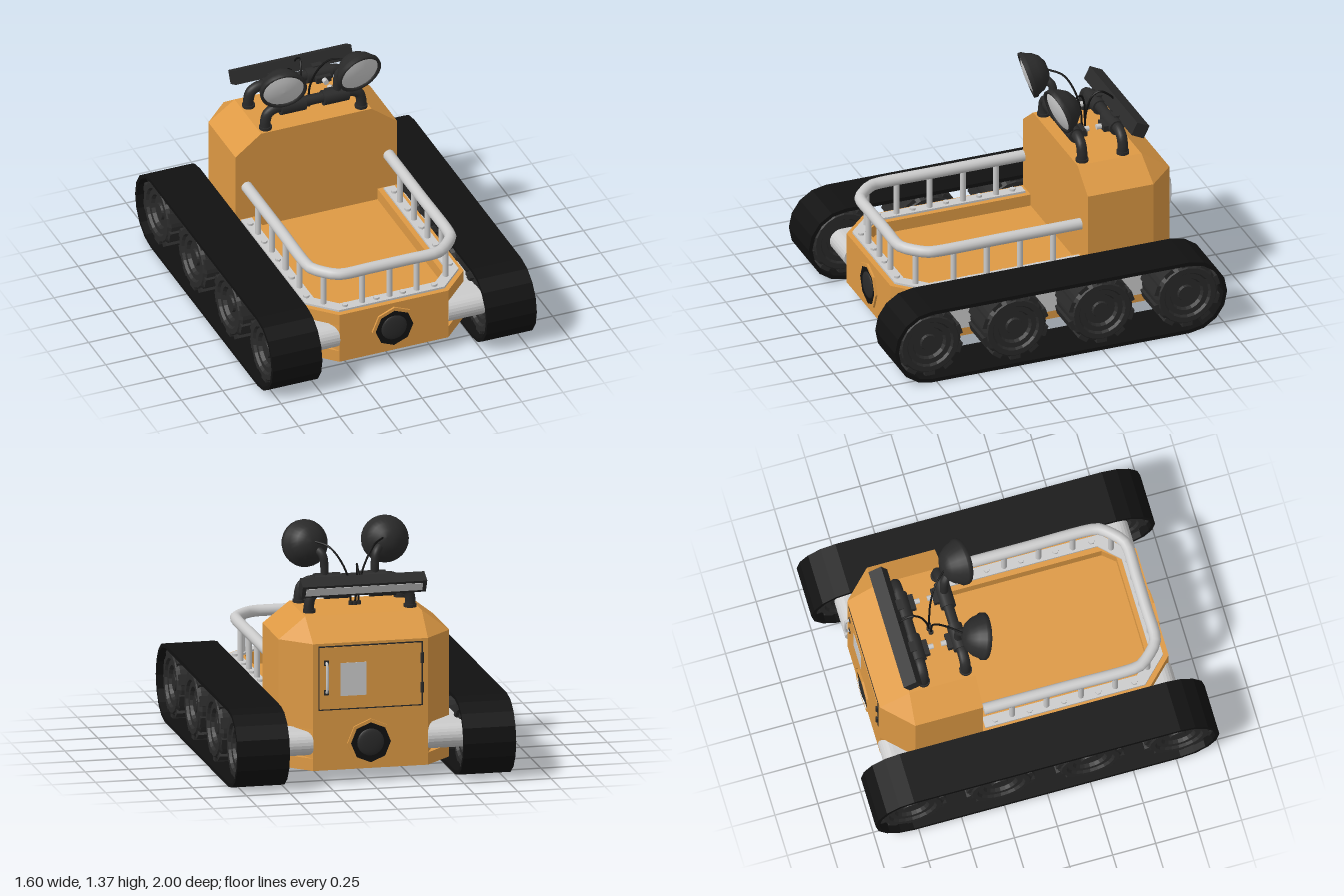
import * as THREE from 'three';
import { ConvexGeometry } from 'three/addons/geometries/ConvexGeometry.js';

const mat = (color, flatShading = false) => new THREE.MeshStandardMaterial({ color, flatShading });
const orange = mat(0xdd9944), grey = mat(0xcccccc), dark = mat(0x2a2a2a);
const darkFlat = mat(0x2a2a2a, true), black = mat(0x111111);
const V = (x, y, z) => new THREE.Vector3(x, y, z);
const SIDES = [1, -1];

export function createModel() {
  const model = new THREE.Group();

  function add(name, geometry, material, x = 0, y = 0, z = 0, parent = model) {
    const mesh = new THREE.Mesh(geometry, material);
    mesh.name = name;
    mesh.position.set(x, y, z);
    parent.add(mesh);
    return mesh;
  }
  const box = (name, w, h, d, m, x, y, z, parent) => add(name, new THREE.BoxGeometry(w, h, d), m, x, y, z, parent);
  // Cylinder along the given axis
  function rod(name, r, len, axis, m, x, y, z, parent, sides = 16) {
    const g = new THREE.CylinderGeometry(r, r, len, sides);
    if (axis === 'x') g.rotateZ(Math.PI / 2);
    if (axis === 'z') g.rotateX(Math.PI / 2);
    return add(name, g, m, x, y, z, parent);
  }
  const tube = (name, points, r, m, sides = 12) => add(name,
    new THREE.TubeGeometry(new THREE.CatmullRomCurve3(points.map(p => V(...p)), false, 'centripetal'), 64, r, sides), m);
  // Mirrors a list of (x, z) corners across x = 0 into a closed outline
  const mirrored = half => [...half, ...half.map(([x, z]) => [-x, z]).reverse()].map(p => new THREE.Vector2(...p));
  // Horizontal plate with a plan outline between two heights
  function plate(name, half, y0, y1, m, hole) {
    const shape = new THREE.Shape(mirrored(half));
    if (hole) shape.holes.push(new THREE.Path(mirrored(hole)));
    const g = new THREE.ExtrudeGeometry(shape, { depth: y1 - y0, bevelEnabled: false });
    g.rotateX(Math.PI / 2);
    return add(name, g, m, 0, y1, 0);
  }

  // Hull: three layers, with the middle one narrower to leave the axle slots
  const plan = [[0.33, -0.84], [0.49, -0.68], [0.49, 0.68], [0.33, 0.84]];
  const innerPlan = [[0.33, -0.84], [0.4, -0.68], [0.4, 0.68], [0.33, 0.84]];
  plate('hullBottom', plan, 0.08, 0.15, orange);
  plate('hullMiddle', innerPlan, 0.15, 0.32, orange);
  plate('bedWall', plan, 0.32, 0.39, orange, [[0.37, -0.285], [0.37, 0.65], [0.31, 0.72]]);

  // Cabin with sloped roof edges
  const corners = [];
  for (const s of SIDES) {
    for (const y of [0.39, 0.81]) {
      corners.push(V(s * 0.49, y, -0.285), V(s * 0.49, y, -0.68), V(s * 0.33, y, -0.84));
    }
    corners.push(V(s * 0.335, 0.93, -0.285), V(s * 0.335, 0.93, -0.67));
  }
  add('cabin', new ConvexGeometry(corners), orange);

  // Rear door with window, handle and hinges
  box('doorSeam', 0.6, 0.37, 0.004, dark, 0, 0.61, -0.841);
  box('door', 0.585, 0.355, 0.01, orange, 0, 0.61, -0.842);
  box('doorWindow', 0.15, 0.19, 0.008, grey, 0.1, 0.6, -0.845);
  tube('doorHandle', [[0.255, 0.53, -0.84], [0.255, 0.535, -0.865], [0.255, 0.56, -0.872],
    [0.255, 0.67, -0.872], [0.255, 0.695, -0.865], [0.255, 0.7, -0.84]], 0.008, grey, 8);
  for (const y of [0.53, 0.7]) {
    box('handleFoot', 0.03, 0.03, 0.012, dark, 0.255, y, -0.846);
    rod('hinge', 0.01, 0.06, 'y', dark, -0.295, y, -0.846, model, 8);
  }

  // Round lamps at the front and back of the hull
  for (const s of SIDES) {
    const lamp = new THREE.Group();
    lamp.name = 'hullLamp';
    lamp.position.set(0, 0.23, s * 0.84);
    if (s < 0) lamp.rotation.y = Math.PI;
    model.add(lamp);
    const rim = add('lampRim', new THREE.RingGeometry(0.115, 0.135, 8), orange, 0, 0, 0.012, lamp);
    const edge = add('lampRimEdge', new THREE.CylinderGeometry(0.135, 0.135, 0.012, 8, 1, true).rotateX(Math.PI / 2), mat(0xdd9944, true), 0, 0, 0.006, lamp);
    rim.rotation.z = edge.rotation.z = Math.PI / 2;
    add('lampWell', new THREE.CircleGeometry(0.117, 8), black, 0, 0, 0.004, lamp);
    add('lampDome', new THREE.SphereGeometry(0.078, 20, 12), dark, 0, 0, 0.003, lamp).scale.z = 0.2;
  }

  // Guard rail around the bed, on a bolted strip
  const railHalf = [[0.43, -0.265], [0.43, 0.2], [0.43, 0.61], [0.42, 0.655], [0.335, 0.75], [0.29, 0.773], [0.1, 0.775]];
  tube('railTop', [...railHalf, ...railHalf.map(([x, z]) => [-x, z]).reverse()].map(([x, z]) => [x, 0.613, z]), 0.033, grey, 16);
  const strip = [[0.4, -0.265], [0.465, -0.265], [0.465, 0.665], [0.32, 0.81], [0, 0.81]];
  const stripInner = [[0, 0.745], [0.29, 0.745], [0.4, 0.635]];
  for (const s of SIDES) {
    const shape = new THREE.Shape([...strip, ...stripInner].map(([x, z]) => new THREE.Vector2(s * x, z)));
    const g = new THREE.ExtrudeGeometry(shape, { depth: 0.015, bevelEnabled: false });
    add('railStrip', g.rotateX(Math.PI / 2), grey, 0, 0.402, 0);
    const post = (x, z) => rod('railPost', 0.017, 0.21, 'y', grey, s * x, 0.495, z);
    const bolt = (x, z) => rod('railBolt', 0.018, 0.014, 'y', grey, s * x, 0.408, z, model, 6);
    for (const z of [-0.1, 0.1, 0.3, 0.5]) post(0.43, z);
    post(0.37, 0.705);
    post(0.165, 0.775);
    for (const z of [-0.2, 0, 0.2, 0.4, 0.61]) bolt(0.435, z);
    bolt(0.27, 0.777);
    bolt(0.08, 0.777);
    add('railEnd', new THREE.CircleGeometry(0.033, 16).rotateY(Math.PI), grey, s * 0.43, 0.613, -0.265);
  }
  rod('railPost', 0.017, 0.21, 'y', grey, 0, 0.495, 0.775);

  // Tracks, axle beams and wheels
  const stadium = (r, half, n = 8) => {
    const pts = [];
    for (const s of SIDES) for (let i = 0; i <= n; i++) {
      const a = (i / n - 0.5) * Math.PI;
      pts.push(new THREE.Vector2(s * (half + r * Math.cos(a)), s * r * Math.sin(a)));
    }
    return pts;
  };
  const extrudeX = (shape, depth) => new THREE.ExtrudeGeometry(shape, { depth, bevelEnabled: false })
    .rotateY(Math.PI / 2).translate(-depth / 2, 0, 0);
  const beltShape = new THREE.Shape(stadium(0.225, 0.775));
  beltShape.holes.push(new THREE.Path(stadium(0.203, 0.775)));
  const belt = extrudeX(beltShape, 0.3);
  const beam = extrudeX(new THREE.Shape(stadium(0.068, 0.785, 12)), 0.22);
  const half = [[0, 0.1], [0.045, 0.1], [0.05, 0.085], [0.09, 0.085], [0.1, 0.105], [0.13, 0.105], [0.14, 0.12], [0.17, 0.12], [0.188, 0.1]];
  const profile = [...half.map(([r, y]) => new THREE.Vector2(r, -y)), ...half.map(p => new THREE.Vector2(...p)).reverse()];
  const wheelGeo = new THREE.LatheGeometry(profile, 20).rotateZ(-Math.PI / 2);
  for (const s of SIDES) {
    add('track', belt, black, s * 0.65, 0.225, 0);
    add('axleBeam', beam, grey, s * 0.44, 0.23, 0);
    for (const z of [-0.775, -0.26, 0.26, 0.775]) {
      const wheel = new THREE.Group();
      wheel.name = 'wheel';
      wheel.position.set(s * 0.65, 0.225, z);
      model.add(wheel);
      add('tyre', wheelGeo, darkFlat, 0, 0, 0, wheel);
      rod('axle', 0.05, 0.1, 'x', dark, -s * 0.12, 0, 0, wheel);
      for (let i = 0; i < 10; i++) {
        const a = i / 10 * Math.PI * 2;
        box('lug', 0.225, 0.03, 0.06, darkFlat, 0, 0.184 * Math.cos(a), 0.184 * Math.sin(a), wheel).rotation.x = a;
      }
    }
  }

  // Roof rack: two hoops with clamps and bolts
  for (const z of [-0.33, -0.575]) {
    const arc = [[0.29, 0.92], [0.29, 0.98], [0.275, 1.025], [0.235, 1.048], [0.19, 1.05]];
    tube('rackHoop', [...arc, ...arc.map(([x, y]) => [-x, y]).reverse()].map(([x, y]) => [x, y, z]), 0.03, dark);
    const inward = z > -0.45 ? -1 : 1;
    for (const s of SIDES) {
      rod('rackFoot', 0.036, 0.02, 'y', dark, s * 0.29, 0.937, z);
      rod('rackClamp', 0.044, 0.15, 'x', dark, s * 0.13, 1.045, z);
      box('clampTab', 0.09, 0.035, 0.06, dark, s * 0.14, 1.04, z + inward * 0.04);
      rod('clampBolt', 0.016, 0.04, 'z', grey, s * 0.14, 1.04, z + inward * 0.08, model, 8);
    }
  }

  // Spotlights on curved stems
  const bowl = new THREE.LatheGeometry([[0, -0.115], [0.04, -0.112], [0.08, -0.092], [0.11, -0.055], [0.127, -0.012], [0.134, -0.01],
    [0.134, 0.014], [0.118, 0.014], [0.116, 0]].map(p => new THREE.Vector2(...p)), 24).rotateX(Math.PI / 2);
  const lens = new THREE.LatheGeometry([[0.118, 0.004], [0.08, 0.016], [0.04, 0.022], [0, 0.024]].map(p => new THREE.Vector2(...p)), 24).rotateX(Math.PI / 2);
  for (const s of SIDES) {
    const spot = new THREE.Group();
    spot.name = 'spotlight';
    spot.position.set(s * 0.23, 1.238, -0.215);
    spot.lookAt(s * 0.37, 0.938, 0.785);
    model.add(spot);
    add('spotBowl', bowl, dark, 0, 0, 0, spot);
    add('spotLens', lens, grey, 0, 0, 0, spot);
    tube('spotStem', [[s * 0.145, 1.05, -0.33], [s * 0.145, 1.13, -0.33], [s * 0.155, 1.19, -0.325], [s * 0.2, 1.235, -0.28]], 0.024, dark);
    tube('spotCable', [[s * 0.022, 0.94, -0.455], [s * 0.03, 1.06, -0.45], [s * 0.07, 1.17, -0.43], [s * 0.13, 1.25, -0.385], [s * 0.2, 1.27, -0.31]], 0.006, black, 6);
    rod('cableGland', 0.014, 0.025, 'y', dark, s * 0.022, 0.938, -0.455, model, 10);
    box('lightBarBracket', 0.06, 0.05, 0.07, dark, s * 0.13, 1.07, -0.61);
  }

  // Rear light bar, tilted down
  const bar = new THREE.Group();
  bar.name = 'lightBar';
  bar.position.set(0, 1.09, -0.655);
  bar.rotation.x = -0.46;
  model.add(bar);
  box('lightBarHousing', 0.715, 0.08, 0.082, dark, 0, 0, 0, bar);
  box('lightBarLens', 0.67, 0.05, 0.006, grey, 0, 0, -0.041, bar);
  rod('cableGland', 0.014, 0.025, 'y', dark, 0, 0.938, -0.46, model, 10);
  tube('lightBarCable', [[0, 0.94, -0.46], [-0.01, 1.06, -0.475], [0, 1.16, -0.51], [0.01, 1.185, -0.55], [0.015, 1.15, -0.61], [0.01, 1.11, -0.64]], 0.006, black, 6);

  return model;
}
